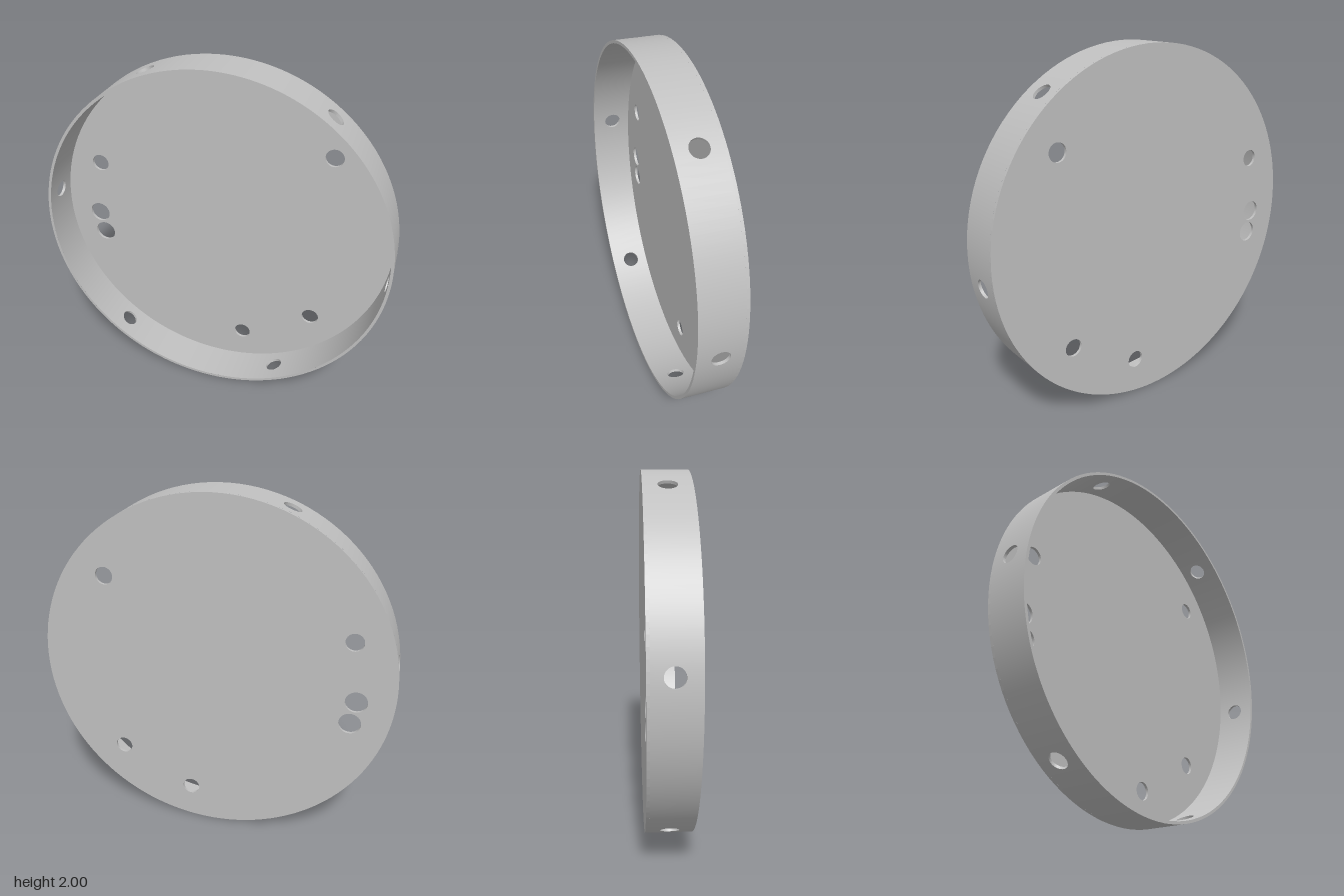
import * as THREE from 'three';
import { mergeGeometries } from 'three/addons/utils/BufferGeometryUtils.js';

const R = 1, T = 0.016, H = 0.125;      // outer radius, sheet thickness, half depth
const FLOOR_Z = -H + T;                 // inner face of the floor
const HOLE = 0.05, PAD = 0.06;          // rim hole radius, half width of the strip round it
const FIRST = THREE.MathUtils.degToRad(-7.4), STEP = Math.PI / 3;

function circle(Type, x, y, r) {
  const c = new Type();
  c.absarc(x, y, r, 0, Math.PI * 2, false);
  return c;
}

function flip(geo) {
  const idx = geo.index.array;
  for (let i = 0; i < idx.length; i += 3) [idx[i], idx[i + 1]] = [idx[i + 1], idx[i]];
  return geo;
}

// Wraps flat geometry round the z axis: x -> angle, y -> depth, z -> radius
function bend(geo, angle, radius, normalSign) {
  const p = geo.attributes.position, n = geo.attributes.normal;
  for (let i = 0; i < p.count; i++) {
    const a = angle + p.getX(i), r = radius + p.getZ(i);
    p.setXYZ(i, r * Math.cos(a), r * Math.sin(a), p.getY(i));
    if (normalSign) n.setXYZ(i, normalSign * Math.cos(a), normalSign * Math.sin(a), 0);
  }
  if (!normalSign) geo.computeVertexNormals();
  return geo;
}

// Short strip of wall with a round hole
function holedStrip() {
  const pts = [];
  for (let i = 0; i <= 4; i++) pts.push(new THREE.Vector2(-PAD + PAD * i / 2, FLOOR_Z));
  for (let i = 4; i >= 0; i--) pts.push(new THREE.Vector2(-PAD + PAD * i / 2, H));
  const s = new THREE.Shape(pts);
  s.holes.push(circle(THREE.Path, 0, 0, HOLE));
  return new THREE.ShapeGeometry(s, 16);
}

// Plain strip of wall between two holes
function plainStrip() {
  return new THREE.PlaneGeometry(STEP - 2 * PAD, H - FLOOR_Z, 18, 1)
    .translate(0, (H + FLOOR_Z) / 2, 0);
}

export function createModel() {
  const grey = new THREE.MeshStandardMaterial({ color: 0xc0c0c0 });
  grey.name = 'light grey';
  const model = new THREE.Group();
  model.name = 'shallowRoundPan';
  const add = (name, geo) => {
    const m = new THREE.Mesh(geo, grey);
    m.name = name;
    m.position.y = 1;
    model.add(m);
  };

  // Floor disc at the back, with six drilled holes
  const disc = circle(THREE.Shape, 0, 0, R);
  const holes = [
    [0.61, 0.52, 0.05], [-0.755, 0.28, 0.05], [-0.792, -0.066, 0.061],
    [-0.768, -0.2, 0.061], [0.56, -0.557, 0.05], [0.138, -0.785, 0.05],
  ];
  for (const [x, y, r] of holes) disc.holes.push(circle(THREE.Path, x, y, r));
  add('floor', new THREE.ExtrudeGeometry(disc, { depth: T, bevelEnabled: false, curveSegments: 60 })
    .translate(0, 0, -H));

  // Side wall, outer and inner skins, with six evenly spaced holes
  const outer = [], inner = [], bores = [];
  for (let i = 0; i < 6; i++) {
    const a = FIRST + i * STEP, mid = a + STEP / 2;
    outer.push(bend(holedStrip(), a, R, 1), bend(plainStrip(), mid, R, 1));
    inner.push(flip(bend(holedStrip(), a, R - T, -1)), flip(bend(plainStrip(), mid, R - T, -1)));
    const bore = new THREE.CylinderGeometry(HOLE, HOLE, T, 32, 1, true).rotateX(Math.PI / 2);
    bores.push(bend(flip(bore), a, R - T / 2, 0));
  }
  add('outerWall', mergeGeometries(outer));
  add('innerWall', mergeGeometries(inner));
  add('wallHoleEdges', mergeGeometries(bores));

  // Front lip joining the two skins
  add('lip', new THREE.RingGeometry(R - T, R, 120).translate(0, 0, H));
  return model;
}
